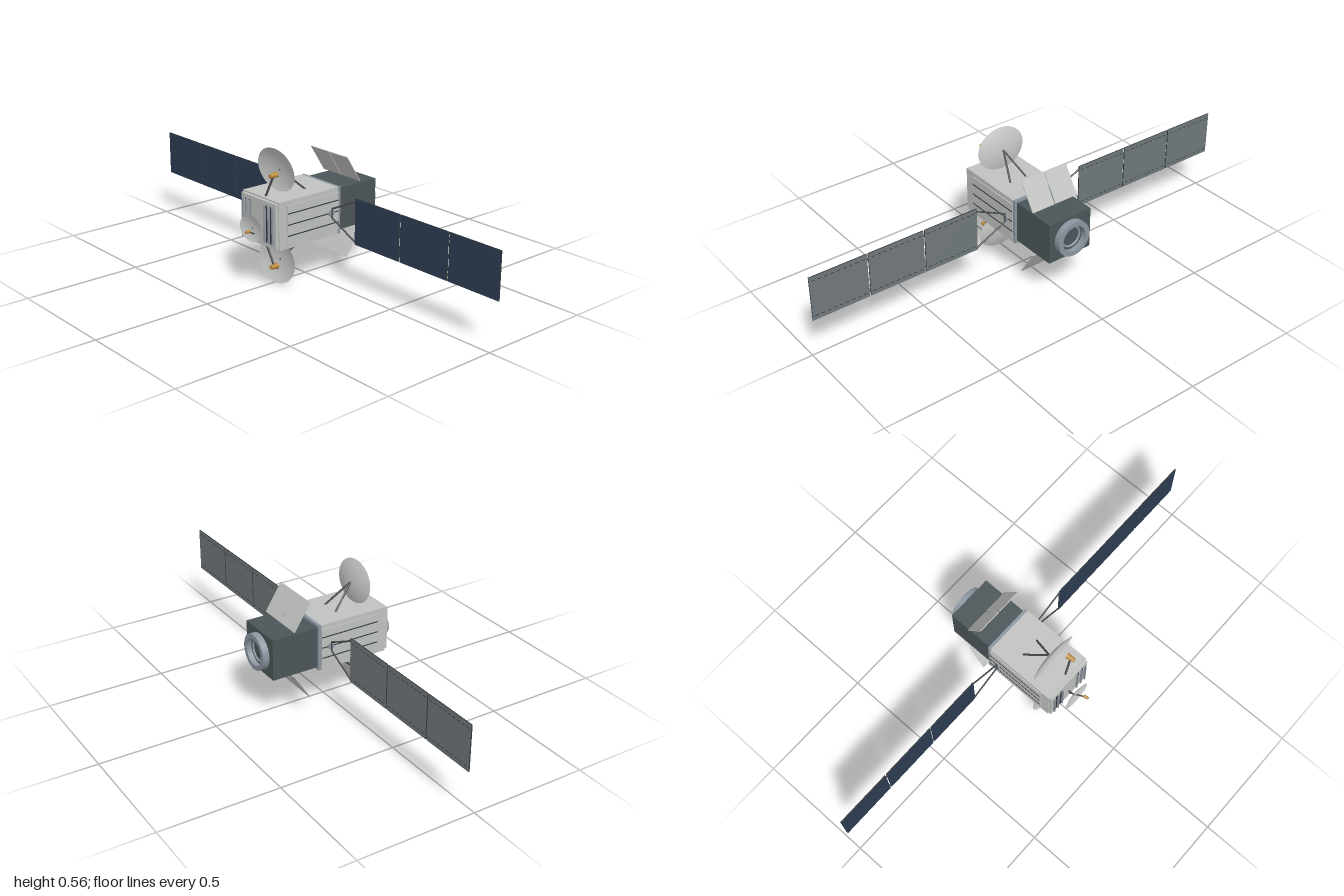
import * as THREE from 'three';

const CY = 0.2815; // height of the craft's axis

const mat = (name, color, side = THREE.FrontSide) => {
  const m = new THREE.MeshStandardMaterial({ color, side });
  m.name = name;
  return m;
};

export function createModel() {
  const root = new THREE.Group();
  root.name = 'satellite';

  const hull = mat('hullGrey', 0xc0c2c0);
  const dishGrey = mat('dishGrey', 0xc6c8c6, THREE.DoubleSide);
  const steel = mat('steelBlue', 0x8c95a0, THREE.DoubleSide);
  const dark = mat('darkSlate', 0x4b5558);
  const strutMat = mat('strutGrey', 0x4a4d50);
  const gold = mat('hornGold', 0xb98a3e);
  const navy = mat('cellNavy', 0x2d3c52);
  const panelBack = mat('panelBackGrey', 0x70787c);
  const lineMat = mat('seamDark', 0x33383b);

  const add = (name, geo, material, parent = root) => {
    const m = new THREE.Mesh(geo, material);
    m.name = name;
    parent.add(m);
    return m;
  };
  // Box given by its limits on each axis
  const box = (name, [x0, x1], [y0, y1], [z0, z1], material, parent) => {
    const m = add(name, new THREE.BoxGeometry(x1 - x0, y1 - y0, z1 - z0), material, parent);
    m.position.set((x0 + x1) / 2, (y0 + y1) / 2, (z0 + z1) / 2);
    return m;
  };
  // Round bar between two points
  const rod = (name, a, b, r0, r1, material, sides = 8) => {
    const p = new THREE.Vector3(...a), q = new THREE.Vector3(...b);
    const d = q.clone().sub(p);
    const m = add(name, new THREE.CylinderGeometry(r1, r0, d.length(), sides), material);
    m.position.copy(p).add(q).multiplyScalar(0.5);
    m.quaternion.setFromUnitVectors(new THREE.Vector3(0, 1, 0), d.normalize());
    return m;
  };
  // Shallow oval dish opening towards +z, placed by its rim centre
  const dish = (name, rx, ry, depth, y, z, tilt) => {
    const pts = [];
    for (let i = 0; i <= 10; i++) {
      const t = i / 10;
      pts.push(new THREE.Vector2(Math.max(t, 1e-4), depth * (t * t - 1)));
    }
    const geo = new THREE.LatheGeometry(pts, 40);
    geo.rotateX(Math.PI / 2);
    geo.scale(rx, ry, 1);
    const m = add(name, geo, dishGrey);
    m.position.set(0, y, z);
    m.rotation.x = tilt;
    return m;
  };

  // Main body
  box('body', [-0.112, 0.112], [CY - 0.099, CY + 0.099], [-0.078, 0.228], hull);
  box('bodyRearBand', [-0.112, 0.112], [CY - 0.099, CY + 0.099], [-0.091, -0.078], steel);
  box('frontPlate', [-0.107, 0.107], [CY - 0.093, CY + 0.093], [0.228, 0.241], hull);
  for (const s of [-1, 1]) {
    for (const x of [0.045, 0.07, 0.092]) {
      const rib = box('frontRib', [-0.002, 0.002], [CY - 0.076, CY + 0.076], [0.241, 0.25], steel);
      rib.position.x = s * x;
    }
    for (const x of [0.052, 0.077]) {
      const seam = box('frontSeam', [-0.003, 0.003], [CY - 0.076, CY + 0.076], [0.24, 0.243], lineMat);
      seam.position.x = s * x;
    }
    // Raised side panel with long seams
    const plate = box('sidePanel', [-0.003, 0.003], [CY - 0.079, CY + 0.08], [-0.078, 0.19], hull);
    plate.position.x = s * 0.113;
    for (const y of [-0.046, 0, 0.046]) {
      const seam = box('sideSeam', [-0.001, 0.001], [CY + y - 0.002, CY + y + 0.002], [-0.077, 0.187], lineMat);
      seam.position.x = s * 0.1165;
    }
  }

  // Rear service section
  box('rearSection', [-0.102, 0.102], [CY - 0.088, CY + 0.089], [-0.294, -0.091], dark);

  // Engine ring with recessed bell
  const ringProfile = [[0.076, 0], [0.076, 0.028], [0.056, 0.028], [0.056, 0.006]]
    .map(p => new THREE.Vector2(...p));
  const flatLathe = (pts, n) => {
    const g = new THREE.LatheGeometry(pts, n).toNonIndexed();
    g.computeVertexNormals();
    return g;
  };
  const ring = add('engineRing', flatLathe(ringProfile, 40), steel);
  ring.rotation.x = -Math.PI / 2;
  ring.position.set(0, CY, -0.294);
  const floor = add('engineFloor', new THREE.CircleGeometry(0.056, 40), dark);
  floor.rotation.y = Math.PI;
  floor.position.set(0, CY, -0.2955);
  const lip = add('engineInnerRing', new THREE.TorusGeometry(0.044, 0.005, 8, 40), steel);
  lip.position.set(0, CY, -0.298);

  // Upper and lower antennas and rear flaps, mirrored about the axis
  for (const s of [1, -1]) {
    const tag = s > 0 ? 'upper' : 'lower';
    const Y = y => CY + s * y;
    dish(tag + 'Dish', 0.112, 0.0893, 0.018, Y(0.192), 0.15, s * 0.11);
    for (const x of [-0.04, 0.04]) {
      rod(tag + 'DishStrut', [x, Y(0.097), 0.033], [0, Y(0.19), 0.132], 0.004, 0.004, strutMat);
    }
    rod(tag + 'FeedArm', [0.008, Y(0.095), 0.211], [0.045, Y(0.183), 0.202], 0.0045, 0.0045, strutMat);
    rod(tag + 'FeedHorn', [0.048, Y(0.1885), 0.22], [0.045, Y(0.1905), 0.185], 0.008, 0.0125, gold, 16);

    // Each flap is two leaves with a narrow gap between them
    const dy = 0.113, dz = 0.072, len = Math.hypot(dy, dz);
    for (const x of [-0.056, 0.056]) {
      const leaf = add(tag + 'Flap', new THREE.BoxGeometry(0.108, len, 0.003), hull);
      leaf.position.set(x, Y(0.156), -0.164);
      leaf.rotation.x = s * Math.atan2(dz, dy);
    }
  }

  // Small forward antenna
  dish('frontDish', 0.067, 0.053, 0.011, 0.259, 0.281, -0.06);
  rod('frontDishStrut', [0, 0.252, 0.24], [0, 0.257, 0.271], 0.003, 0.003, strutMat);
  rod('frontFeedArm', [0.002, 0.22, 0.241], [0.022, 0.259, 0.31], 0.003, 0.003, strutMat);
  rod('frontFeedHorn', [0.025, 0.259, 0.324], [0.021, 0.259, 0.303], 0.005, 0.0075, gold, 16);

  // Solar wings
  const Z = -0.037;
  for (const s of [-1, 1]) {
    const side = s > 0 ? 'left' : 'right';
    rod(side + 'WingHub', [s * 0.11, CY, Z], [s * 0.122, CY, Z], 0.014, 0.014, steel);
    rod(side + 'YokeBase', [s * 0.123, CY - 0.02, Z], [s * 0.123, CY + 0.02, Z], 0.0035, 0.0035, strutMat);
    for (const v of [-1, 1]) {
      rod(side + 'YokeArm', [s * 0.122, CY + v * 0.019, Z], [s * 0.264, CY + v * 0.087, Z], 0.0035, 0.0035, strutMat);
    }
    for (let i = 0; i < 3; i++) {
      const w = 0.243, cx = s * (0.3805 + i * 0.249);
      const panel = add(side + 'SolarPanel', new THREE.BoxGeometry(w, 0.191, 0.005),
        [lineMat, lineMat, lineMat, lineMat, navy, panelBack]);
      panel.position.set(cx, CY + 0.002, Z);
      for (const v of [-1, 1]) {
        // Hinge to the next panel
        if (i < 2) {
          const hinge = add(side + 'PanelHinge', new THREE.BoxGeometry(0.008, 0.012, 0.003), strutMat);
          hinge.position.set(cx + s * 0.1245, CY + 0.002 + v * 0.07, Z);
        }
        // Dashed seams on the back
        for (let k = 0; k < 9; k++) {
          const dash = add('panelDash', new THREE.BoxGeometry(0.015, 0.0025, 0.001), lineMat);
          dash.position.set(cx + (k - 4) * 0.026, CY + 0.002 + v * 0.077, Z - 0.0028);
        }
      }
    }
  }
  return root;
}
